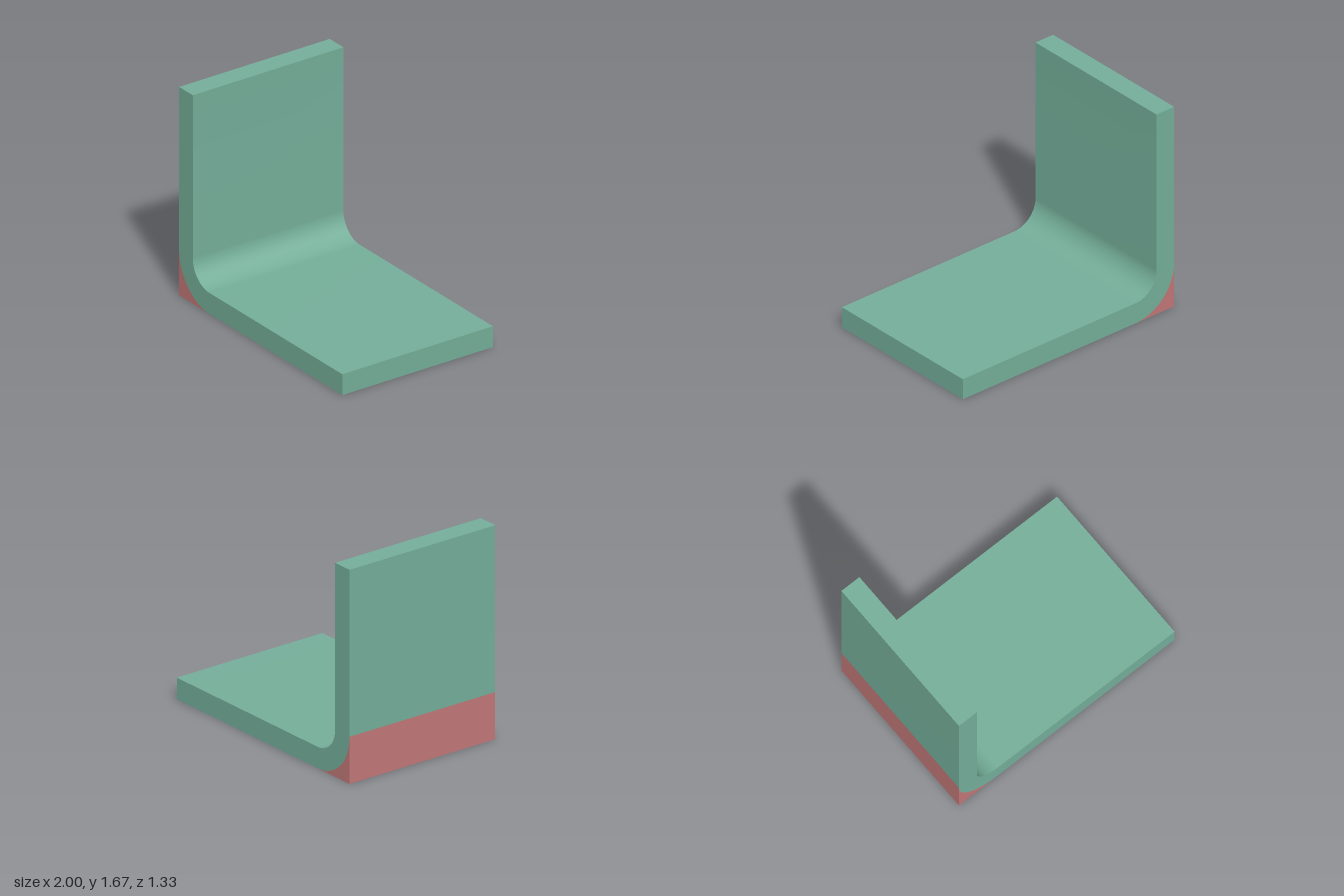
import * as THREE from 'three';
import { toCreasedNormals } from 'three/addons/utils/BufferGeometryUtils.js';

const HEIGHT = 1.667, DEPTH = 1.333, THICK = 0.167;
const INNER_R = 0.2, OUTER_R = INNER_R + THICK;
const CX = -1 + OUTER_R, CY = OUTER_R; // shared centre of the bend

function extrudePart(name, shape, material) {
  const geometry = new THREE.ExtrudeGeometry(shape, { depth: DEPTH, bevelEnabled: false, curveSegments: 32 });
  geometry.translate(0, 0, -DEPTH / 2);
  const mesh = new THREE.Mesh(toCreasedNormals(geometry, 0.4), material);
  mesh.name = name;
  return mesh;
}

export function createModel() {
  const green = new THREE.MeshStandardMaterial({ color: 0x74ae99 });
  green.name = 'sage green';
  const red = new THREE.MeshStandardMaterial({ color: 0xc07676 });
  red.name = 'dusty red';

  // L-shaped plate with a concentric bend
  const plate = new THREE.Shape();
  plate.moveTo(-1, HEIGHT);
  plate.lineTo(-1, CY);
  plate.absarc(CX, CY, OUTER_R, Math.PI, 1.5 * Math.PI, false);
  plate.lineTo(1, 0);
  plate.lineTo(1, THICK);
  plate.lineTo(CX, THICK);
  plate.absarc(CX, CY, INNER_R, 1.5 * Math.PI, Math.PI, true);
  plate.lineTo(-1 + THICK, HEIGHT);
  plate.closePath();

  // Filler that squares off the outside of the bend
  const corner = new THREE.Shape();
  corner.moveTo(-1, 0);
  corner.lineTo(CX, 0);
  corner.absarc(CX, CY, OUTER_R, 1.5 * Math.PI, Math.PI, true);
  corner.closePath();

  const group = new THREE.Group();
  group.name = 'angleBracket';
  group.add(extrudePart('bentPlate', plate, green), extrudePart('cornerFiller', corner, red));
  return group;
}
